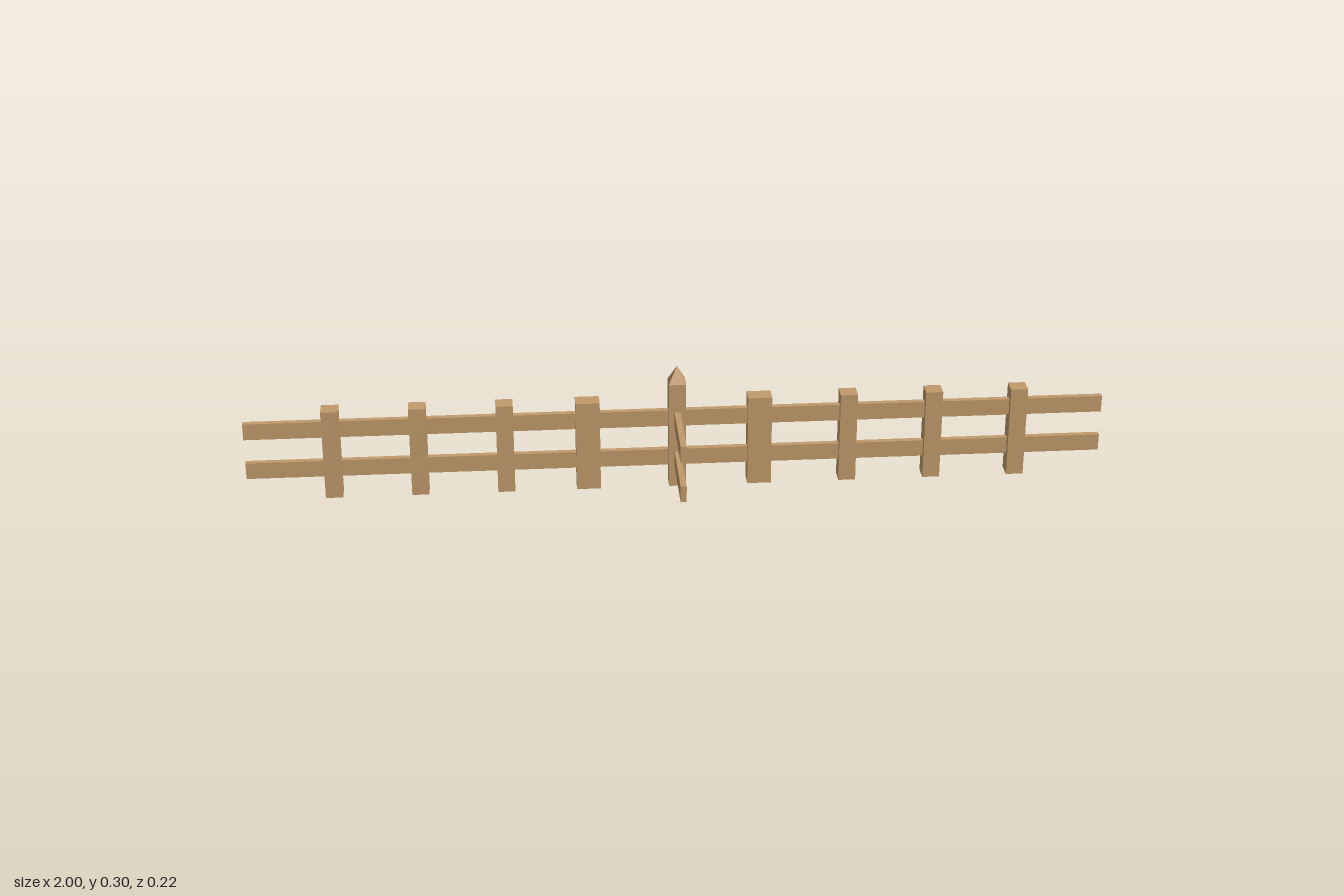
import * as THREE from 'three';

export function createModel() {
  const group = new THREE.Group();
  group.name = 'fence';
  const wood = new THREE.MeshStandardMaterial({ color: 0xc19a6b, flatShading: true });
  wood.name = 'wood';
  const lineZ = -0.09; // depth of the main fence line

  const add = (name, geometry, x, y, z) => {
    const mesh = new THREE.Mesh(geometry, wood);
    mesh.name = name;
    mesh.position.set(x, y, z);
    group.add(mesh);
    return mesh;
  };
  const box = (name, w, h, d, x, y, z) => add(name, new THREE.BoxGeometry(w, h, d), x, y, z);

  // Long rails, with a short branch running forward from the centre post
  for (const [level, y] of [['lower', 0.07], ['upper', 0.17]]) {
    box(level + 'Rail', 2, 0.04, 0.014, 0, y, lineZ);
    box(level + 'BranchRail', 0.014, 0.04, 0.2, 0, y, 0.01);
  }

  // Square side posts
  for (const x of [-0.8, -0.6, -0.4, 0.4, 0.6, 0.8]) {
    box('post', 0.04, 0.22, 0.04, x, 0.11, lineZ);
  }

  // Wider posts either side of the centre
  for (const x of [-0.208, 0.192]) {
    box('widePost', 0.056, 0.22, 0.04, x, 0.11, lineZ);
  }

  // Tall centre post with a pyramid tip
  box('centrePost', 0.04, 0.26, 0.04, 0, 0.13, lineZ);
  const tip = new THREE.ConeGeometry(0.02 * Math.SQRT2, 0.04, 4, 1, true).rotateY(Math.PI / 4);
  add('centrePostTip', tip, 0, 0.28, lineZ);

  return group;
}
